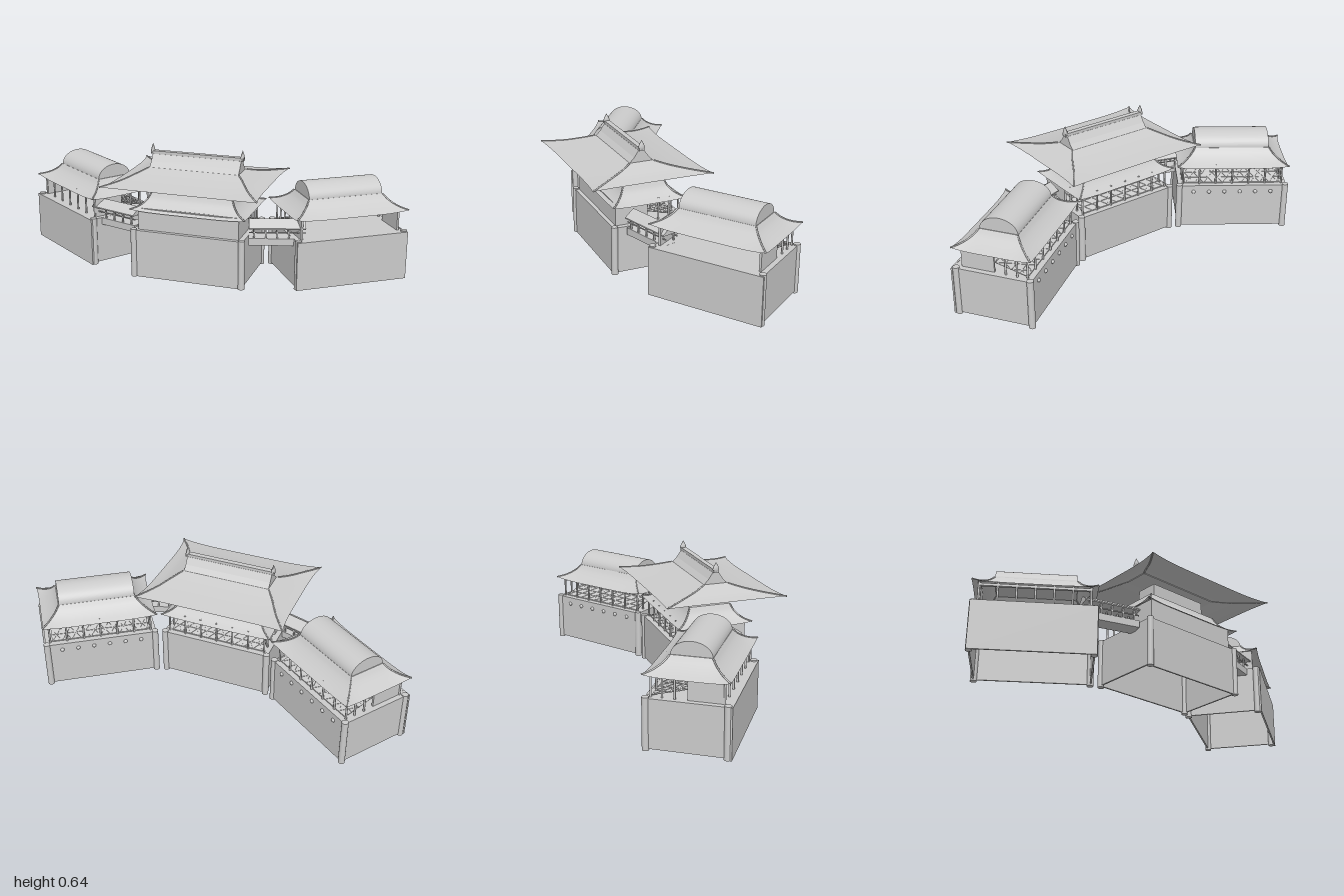
import * as THREE from 'three';

const mat = new THREE.MeshStandardMaterial({ color: 0xcccccc });
const thin = new THREE.MeshStandardMaterial({ color: 0xcccccc, side: THREE.DoubleSide });

function add(parent, name, geo, x = 0, y = 0, z = 0, material = mat) {
  const m = new THREE.Mesh(geo, material);
  m.name = name;
  m.position.set(x, y, z);
  parent.add(m);
  return m;
}
const box = (p, name, w, h, d, x, y, z) => add(p, name, new THREE.BoxGeometry(w, h, d), x, y, z);
const outline = (pts) => new THREE.Shape(pts.map((q) => new THREE.Vector2(...q)));

// Extrude a z-y profile along x, centred; the profile's first axis is given as -z
function prism(p, name, shape, len, y = 0) {
  const geo = new THREE.ExtrudeGeometry(shape, { depth: len, bevelEnabled: false, curveSegments: 28 });
  add(p, name, geo, -len / 2, y, 0).rotation.y = Math.PI / 2;
}

// Straight square bar between two points
function bar(p, name, a, b, t) {
  const va = new THREE.Vector3(...a), vb = new THREE.Vector3(...b);
  const m = add(p, name, new THREE.BoxGeometry(t, t, va.distanceTo(vb)));
  m.position.copy(va).add(vb).multiplyScalar(0.5);
  m.lookAt(vb);
}

// Curved hipped roof: rings of [halfX, halfZ, y], corners flared and lifted at the eave
function roof(parent, name, rings, flare, lift) {
  const g = new THREE.Group();
  g.name = name;
  const curve = new THREE.CatmullRomCurve3(rings.map((r) => new THREE.Vector3(...r)), false, 'centripetal');
  const rows = 12, cols = 24;
  const point = (side, t, v) => {
    const r = curve.getPoint(v);
    const k = Math.pow(Math.abs(t), 5) * Math.pow(1 - v, 3);
    const hx = r.x * (1 + flare * k), hz = r.y * (1 + flare * k), y = r.z + lift * k;
    if (side === 0) return [t * hx, y, hz];
    if (side === 1) return [hx, y, -t * hz];
    if (side === 2) return [-t * hx, y, -hz];
    return [-hx, y, t * hz];
  };
  for (let s = 0; s < 4; s++) {
    const pos = [], idx = [];
    for (let i = 0; i <= rows; i++)
      for (let j = 0; j <= cols; j++) pos.push(...point(s, (j / cols) * 2 - 1, i / rows));
    for (let i = 0; i < rows; i++)
      for (let j = 0; j < cols; j++) {
        const a = i * (cols + 1) + j, b = a + cols + 1;
        idx.push(a, a + 1, b + 1, a, b + 1, b);
      }
    const geo = new THREE.BufferGeometry();
    geo.setAttribute('position', new THREE.Float32BufferAttribute(pos, 3));
    geo.setIndex(idx);
    geo.computeVertexNormals();
    add(g, 'roofSlope', geo, 0, 0, 0, thin);
    // hip ridge along the corner
    const hip = [];
    for (let i = 0; i <= 8; i++) hip.push(new THREE.Vector3(...point(s, 1, i / 8)));
    add(g, 'hipRidge', new THREE.TubeGeometry(new THREE.CatmullRomCurve3(hip), 16, 0.004, 6));
  }
  const top = rings[rings.length - 1];
  box(g, 'roofCap', top[0] * 2, 0.004, top[1] * 2, 0, top[2] - 0.002, 0);
  parent.add(g);
}

const HX = 0.28, HZ = 0.185, DECK = 0.24, EAVE = 0.34;
const IX = 0.255, IZ = 0.16, WALL_H = EAVE - DECK + 0.01, WALL_Y = DECK + WALL_H / 2;

// Row of slim posts along a long side
function colonnade(g, z) {
  for (let i = 0; i < 7; i++)
    add(g, 'post', new THREE.CylinderGeometry(0.005, 0.005, WALL_H, 8), -IX + (i * IX) / 3, WALL_Y, z);
  box(g, 'lintel', IX * 2, 0.012, 0.012, 0, EAVE - 0.004, z);
}

// Hollow masonry base with corner columns, half-closed ends and a colonnade at the back
function pavilion(name, frontX, frontZ) {
  const g = new THREE.Group();
  g.name = name;
  const t = 0.008, low = 0.008, h = DECK - low, y = low + h / 2;
  box(g, 'baseFront', frontX * 2, DECK, t, 0, DECK / 2, frontZ - t / 2);
  box(g, 'baseBack', HX * 2, h, t, 0, y, -HZ + t / 2);
  box(g, 'deck', HX * 2 - t, 0.006, HZ + frontZ - t, 0, DECK - 0.004, (frontZ - HZ) / 2);
  for (const sx of [-1, 1]) {
    box(g, 'baseEnd', t, h, HZ + frontZ - 0.004, sx * (HX - t / 2), y, (frontZ - HZ) / 2);
    for (const sz of [-1, 1])
      add(g, 'cornerColumn', new THREE.CylinderGeometry(0.016, 0.016, 0.245, 20), sx * (HX - 0.006), 0.1225, sz * (HZ - 0.006));
    box(g, 'endWall', 0.01, WALL_H, IZ, sx * (IX - 0.005), WALL_Y, IZ / 2);
    for (const z of [-0.055, -0.11])
      add(g, 'sidePost', new THREE.CylinderGeometry(0.005, 0.005, WALL_H, 8), sx * IX, WALL_Y, z);
  }
  colonnade(g, -IZ);

  // thin sloping lattice screen behind the colonnade
  prism(g, 'latticeSheet', outline([[0, DECK + 0.044], [0.155, DECK + 0.003], [0.155, DECK + 0.005], [0, DECK + 0.046]]), IX * 2 - 0.02);
  const n = 20, w = IX - 0.012;
  const at = (k, v) => [-w + (2 * w * k) / n, DECK + 0.004 + 0.041 * v, -0.155 * (1 - v)];
  for (let r = 0; r <= 4; r++) bar(g, 'latticeRail', at(0, r / 4), at(n, r / 4), 0.005);
  for (let k = 0; k < n; k++)
    for (let r = 0; r < 4; r++) {
      const d = (k + r) % 2;
      bar(g, 'latticeBar', at(k + d, r / 4), at(k + 1 - d, (r + 1) / 4), 0.005);
    }
  return g;
}

function arch(rx, h) {
  const s = new THREE.Shape();
  s.moveTo(rx, 0);
  s.absellipse(0, 0, rx, h, 0, Math.PI, false);
  s.lineTo(rx, 0);
  return s;
}

// Side pavilion, open at the front, with skirt roof and barrel vault
function wing() {
  const g = pavilion('wing', 0.286, 0.2);
  roof(g, 'skirtRoof', [[0.283, 0.188, 0.337], [0.245, 0.147, 0.36], [0.212, 0.113, 0.388], [0.193, 0.094, 0.413]], 0.02, 0.012);
  const rim = arch(0.093, 0.068);
  rim.holes.push(arch(0.085, 0.06));
  prism(g, 'barrelVault', rim, 0.38, 0.411);
  prism(g, 'vaultEnds', arch(0.087, 0.062), 0.35, 0.411);
  for (let i = 0; i < 6; i++)
    add(g, 'wallStud', new THREE.SphereGeometry(0.01, 12, 8), -0.2 + i * 0.08, 0.205, -HZ);
  return g;
}

// Covered footbridge
function bridge() {
  const g = new THREE.Group();
  g.name = 'bridge';
  const len = 0.27;
  box(g, 'bridgeFloor', len, 0.035, 0.08, 0, 0.222, 0);
  for (const s of [-1, 1]) {
    for (let i = 0; i < 5; i++) box(g, 'bridgePost', 0.007, 0.06, 0.007, -0.11 + i * 0.055, 0.265, s * 0.034);
    box(g, 'bridgeRail', len, 0.005, 0.005, 0, 0.268, s * 0.034);
  }
  prism(g, 'bridgeRoof', outline([[-0.05, 0.288], [0.05, 0.288], [0.05, 0.294], [0, 0.328], [-0.05, 0.294]]), len);
  return g;
}

export function createModel() {
  const model = new THREE.Group();
  model.name = 'threePavilionGate';

  // Central hall with a closed front and two roofs
  const hall = pavilion('centralHall', HX, HZ);
  hall.position.z = 0.09;
  box(hall, 'frontWall', IX * 2, WALL_H, 0.01, 0, WALL_Y, IZ);
  roof(hall, 'lowerRoof', [[0.283, 0.183, 0.335], [0.25, 0.15, 0.355], [0.222, 0.122, 0.385], [0.205, 0.105, 0.42]], 0.03, 0.01);
  const upper = new THREE.Group();
  upper.name = 'upperStorey';
  upper.position.z = 0.02;
  hall.add(upper);
  box(upper, 'upperWall', 0.32, 0.09, 0.11, 0, 0.455, 0);
  roof(upper, 'upperRoof', [[0.367, 0.288, 0.481], [0.312, 0.2, 0.497], [0.265, 0.115, 0.517], [0.23, 0.062, 0.533]], 0.05, 0.005);
  prism(upper, 'gableRoof', outline([[-0.062, 0.53], [0.062, 0.53], [0.036, 0.557], [0.014, 0.59], [-0.014, 0.59], [-0.036, 0.557]]), 0.45);
  box(upper, 'ridgeBeam', 0.47, 0.016, 0.026, 0, 0.597, 0);
  const bud = [[0.001, 0], [0.012, 0], [0.017, 0.015], [0.013, 0.028], [0.005, 0.042], [0.001, 0.05]].map((q) => new THREE.Vector2(...q));
  for (const s of [-1, 1])
    add(upper, 'ridgeFinial', new THREE.LatheGeometry(bud, 16), s * 0.228, 0.59, 0).scale.x = 0.55;
  model.add(hall);

  // Side pavilions and the bridges that join them
  for (const s of [-1, 1]) {
    const w = wing();
    w.position.set(s * 0.65, 0, -0.12);
    w.rotation.y = s * 0.61;
    if (s < 0) colonnade(w, IZ);
    model.add(w);
    const b = bridge();
    b.position.set(s * 0.41, 0, 0.135);
    b.rotation.y = s * 0.3;
    model.add(b);
  }
  return model;
}
